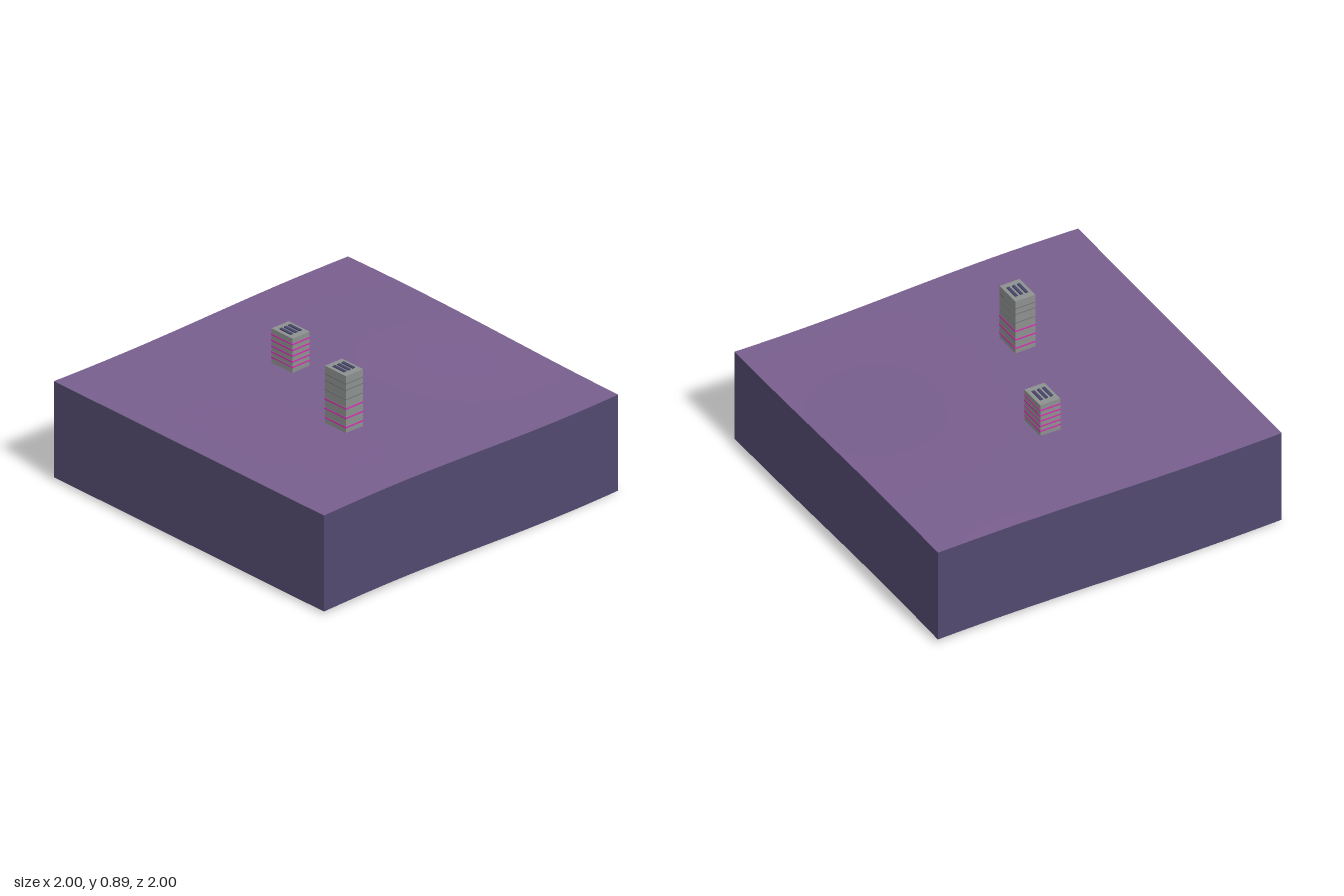
import * as THREE from 'three';

const mat = (name, color, side = THREE.FrontSide) => {
  const m = new THREE.MeshStandardMaterial({ color, side });
  m.name = name;
  return m;
};

// gentle ground swell
const groundHeight = (x, z) => {
  const sway = 0.55 + 1.25 * Math.cos((2 * Math.PI * (x - 0.65)) / 2.4);
  return 0.558 + 0.01 * sway * Math.cos((Math.PI * (z + 0.6)) / 1.6);
};

const SKIRT = 0.54;
const SEGMENTS = 32;

export function createModel() {
  const root = new THREE.Group();
  root.name = 'groundTileWithTowers';

  const ground = mat('purple ground', 0x785e8e, THREE.DoubleSide);
  const earth = mat('indigo earth', 0x52496e, THREE.DoubleSide);
  const concrete = mat('grey concrete', 0x8c908f);
  const neon = mat('magenta neon', 0xd030b0);
  const joint = mat('dark grey joint', 0x6c7071);
  const vent = mat('dark blue vent', 0x48466a);

  const add = (parent, name, geometry, material, x = 0, y = 0, z = 0) => {
    const mesh = new THREE.Mesh(geometry, material);
    mesh.name = name;
    mesh.position.set(x, y, z);
    parent.add(mesh);
    return mesh;
  };

  // undulating top surface
  const top = new THREE.PlaneGeometry(2, 2, SEGMENTS, SEGMENTS).rotateX(-Math.PI / 2);
  const p = top.attributes.position;
  for (let i = 0; i < p.count; i++) p.setY(i, groundHeight(p.getX(i), p.getZ(i)));
  top.computeVertexNormals();
  add(root, 'groundSurface', top, ground);

  // four skirt walls, top and bottom both follow the ground, open below
  const names = ['frontWall', 'leftWall', 'backWall', 'rightWall'];
  names.forEach((name, k) => {
    const wall = new THREE.PlaneGeometry(2, 1, SEGMENTS, 1);
    wall.translate(0, 0, 1).rotateY((k * Math.PI) / 2);
    const q = wall.attributes.position;
    for (let i = 0; i < q.count; i++) {
      const h = groundHeight(q.getX(i), q.getZ(i));
      q.setY(i, q.getY(i) > 0 ? h : h - SKIRT);
    }
    wall.computeVertexNormals();
    add(root, name, wall, earth);
  });

  // tower with thin wrapping bands and three roof vents
  const W = 0.116, D = 0.155;
  const tower = (name, x, z, base, roof, neonLevels, jointLevels) => {
    const g = new THREE.Group();
    g.name = name;
    g.position.set(x, 0, z);
    root.add(g);
    add(g, 'towerBody', new THREE.BoxGeometry(W, roof - base, D), concrete, 0, (roof + base) / 2, 0);
    for (const y of neonLevels)
      add(g, 'neonBand', new THREE.BoxGeometry(W + 0.004, 0.008, D + 0.004), neon, 0, y, 0);
    for (const y of jointLevels)
      add(g, 'jointBand', new THREE.BoxGeometry(W + 0.002, 0.004, D + 0.002), joint, 0, y, 0);
    for (const i of [-1, 0, 1])
      add(g, 'roofVent', new THREE.BoxGeometry(0.016, 0.008, 0.083), vent, i * 0.03, roof + 0.002, 0);
  };
  tower('tallTower', -0.252, 0.333, 0.557, 0.88, [0.59, 0.642, 0.695], [0.747, 0.8, 0.835]);
  tower('shortTower', -0.003, -0.333, 0.555, 0.753, [0.592, 0.622, 0.655, 0.687, 0.72], []);

  return root;
}
